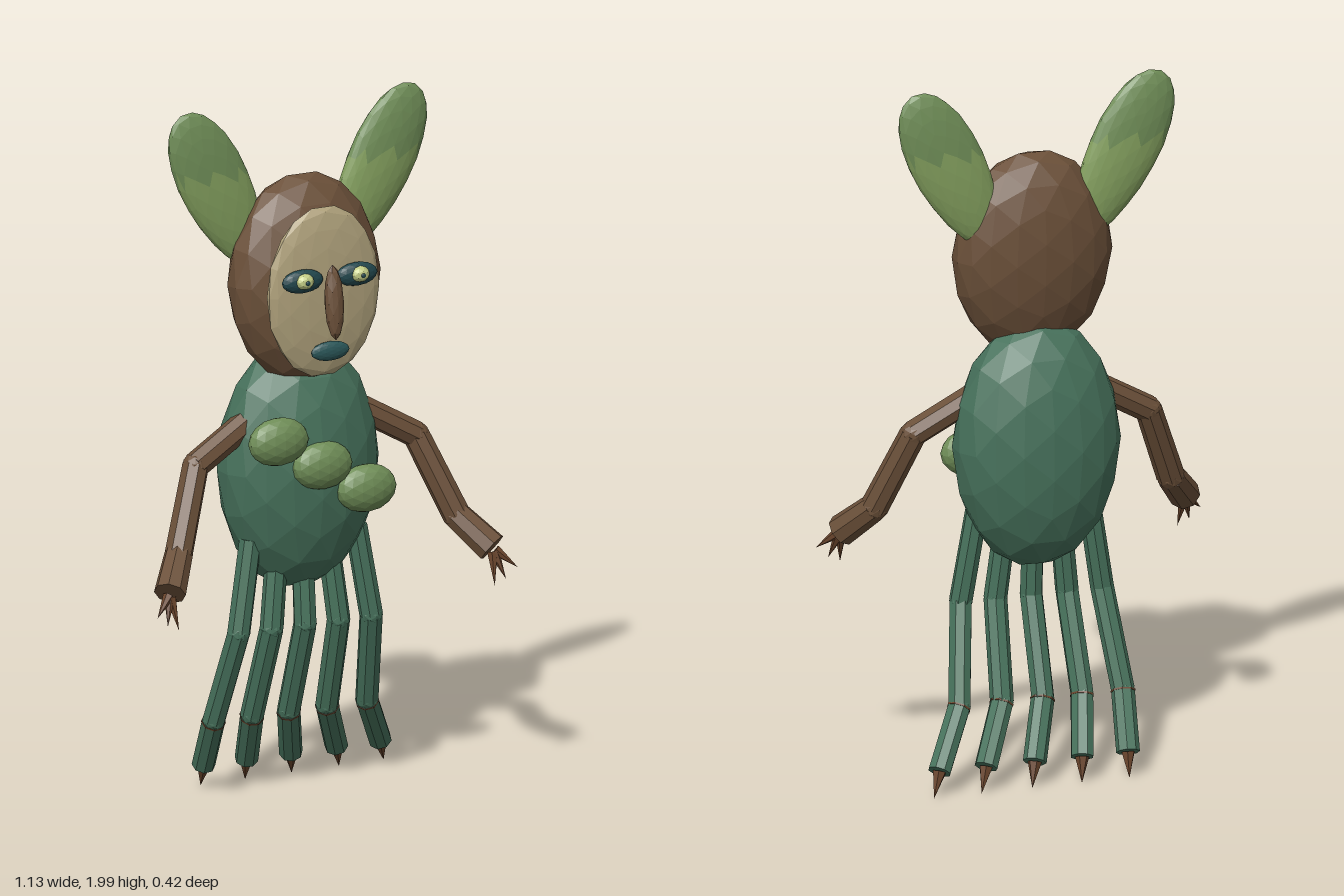
import * as THREE from 'three';

const V = (x, y, z) => new THREE.Vector3(x, y, z);
const mat = (name, color) => {
  const m = new THREE.MeshStandardMaterial({ color, flatShading: true });
  m.name = name;
  return m;
};

export function createModel() {
  const root = new THREE.Group();
  root.name = 'creature';
  const M = {
    body: mat('mossGreen', 0x47725c),
    bark: mat('barkBrown', 0x6b5039),
    face: mat('paleTan', 0xb0a27c),
    leaf: mat('leafGreen', 0x6f8d57),
    leafPale: mat('paleLeafGreen', 0x839f5e),
    dark: mat('deepTeal', 0x22474d),
    lips: mat('lipTeal', 0x2b5759),
    iris: mat('paleYellow', 0xc3cd86),
    claw: mat('clawBrown', 0x6a452c),
  };

  const add = (name, geo, material, parent = root) => {
    const mesh = new THREE.Mesh(geo, material);
    mesh.name = name;
    parent.add(mesh);
    return mesh;
  };
  const blob = (name, material, pos, size, detail = 2, parent = root) => {
    const mesh = add(name, new THREE.IcosahedronGeometry(1, detail), material, parent);
    mesh.position.set(...pos);
    mesh.scale.set(...size);
    return mesh;
  };
  // Aligns a cylinder or cone with the line from a to b
  const between = (name, a, b, r0, r1, material, parent, sides = 8) => {
    const dir = b.clone().sub(a);
    const mesh = add(name, new THREE.CylinderGeometry(r1, r0, dir.length(), sides), material, parent);
    mesh.position.copy(a).addScaledVector(dir, 0.5);
    mesh.quaternion.setFromUnitVectors(V(0, 1, 0), dir.normalize());
    return mesh;
  };
  // Jointed limb through a list of points
  const limb = (name, pts, radii, material) => {
    const g = new THREE.Group();
    g.name = name;
    root.add(g);
    for (let i = 0; i < pts.length - 1; i++) {
      between('segment', pts[i], pts[i + 1], radii[i], radii[i + 1], material, g);
      if (i) blob('joint', material, pts[i].toArray(), Array(3).fill(radii[i] * 0.99), 1, g);
    }
    return g;
  };

  // Torso and head
  blob('body', M.body, [0, 0.955, -0.032], [0.242, 0.36, 0.155]);
  const head = blob('head', M.bark, [0, 1.495, 0.005], [0.232, 0.3, 0.122]);
  head.rotation.x = -0.05;

  // Face
  blob('face', M.face, [0, 1.482, 0.118], [0.176, 0.246, 0.035]);
  const nose = blob('nose', M.bark, [0, 1.465, 0.184], [0.028, 0.107, 0.024], 1);
  nose.rotation.x = -0.1;
  blob('mouth', M.lips, [0, 1.32, 0.16], [0.06, 0.028, 0.016]);
  for (const s of [-1, 1]) {
    blob('eye', M.dark, [s * 0.085, 1.53, 0.157], [0.064, 0.034, 0.023]);
    blob('iris', M.iris, [s * 0.087, 1.533, 0.173], [0.028, 0.023, 0.022], 1);
    blob('pupil', M.dark, [s * 0.087, 1.533, 0.194], [0.007, 0.007, 0.004], 1);
  }

  // Ears: egg shapes with a paler lower half
  for (const s of [-1, 1]) {
    const geo = new THREE.IcosahedronGeometry(1, 3);
    const p = geo.attributes.position;
    for (let i = 0; i < p.count; i++) {
      const t = p.getY(i);
      p.setXYZ(i, p.getX(i) * 0.103 * (1 + 0.16 * t), t * 0.257, p.getZ(i) * 0.038);
    }
    geo.rotateZ(-s * 0.47);
    geo.translate(s * 0.25, 1.766, -0.033);
    for (let i = 0; i < p.count; i += 3) {
      const y = (p.getY(i) + p.getY(i + 1) + p.getY(i + 2)) / 3;
      geo.addGroup(i, 3, y > 1.81 ? 0 : 1);
    }
    geo.computeVertexNormals();
    add(s > 0 ? 'leftEar' : 'rightEar', geo, [M.leaf, M.leafPale]);
  }

  // Row of buds across the chest
  for (const [x, y] of [[-0.137, 1.065], [0, 0.98], [0.138, 0.897]])
    blob('chestBud', M.leaf, [x, y, 0.113], [0.092, 0.069, 0.046]);

  // Arms with clawed fingers
  for (const s of [-1, 1]) {
    const pts = [V(s * 0.17, 1.1, -0.005), V(s * 0.345, 1.0, 0.015), V(s * 0.435, 0.775, 0.085), V(s * 0.505, 0.69, 0.165)];
    const arm = limb(s > 0 ? 'leftArm' : 'rightArm', pts, [0.038, 0.038, 0.04, 0.045], M.bark);
    for (const [x, y, z] of [[0.565, 0.635, 0.205], [0.53, 0.605, 0.2], [0.495, 0.59, 0.2]]) {
      const base = pts[3].clone().lerp(V(s * x, y, z), 0.12);
      between('finger', base, V(s * x, y, z), 0.016, 0, M.claw, arm, 6);
    }
  }

  // Five legs: x at hip, knee, ankle and foot, then hip height
  const legs = [
    [-0.165, -0.208, -0.235, -0.217, 0.76],
    [-0.085, -0.105, -0.115, -0.082, 0.68],
    [0, 0, 0, 0.057, 0.66],
    [0.085, 0.105, 0.12, 0.2, 0.68],
    [0.165, 0.207, 0.245, 0.337, 0.76],
  ];
  for (const [hip, knee, ankle, foot, top] of legs) {
    const a = V(ankle, 0.228, -0.085), f = V(foot, 0.075, -0.18);
    const leg = limb('leg', [V(hip, top, 0), V(knee, 0.5, 0.012), a, f], [0.032, 0.033, 0.033, 0.033], M.body);
    const dir = f.clone().sub(a).normalize();
    const tip = V(foot + dir.x * 0.055, 0.008, -0.207);
    between('toeClaw', f, tip, 0.02, 0, M.claw, leg, 6);
    // Thin band at the ankle
    const b = a.clone().addScaledVector(dir, 0.003);
    between('ankleBand', b, b.clone().addScaledVector(dir, 0.005), 0.0345, 0.0345, M.claw, leg);
  }
  return root;
}
